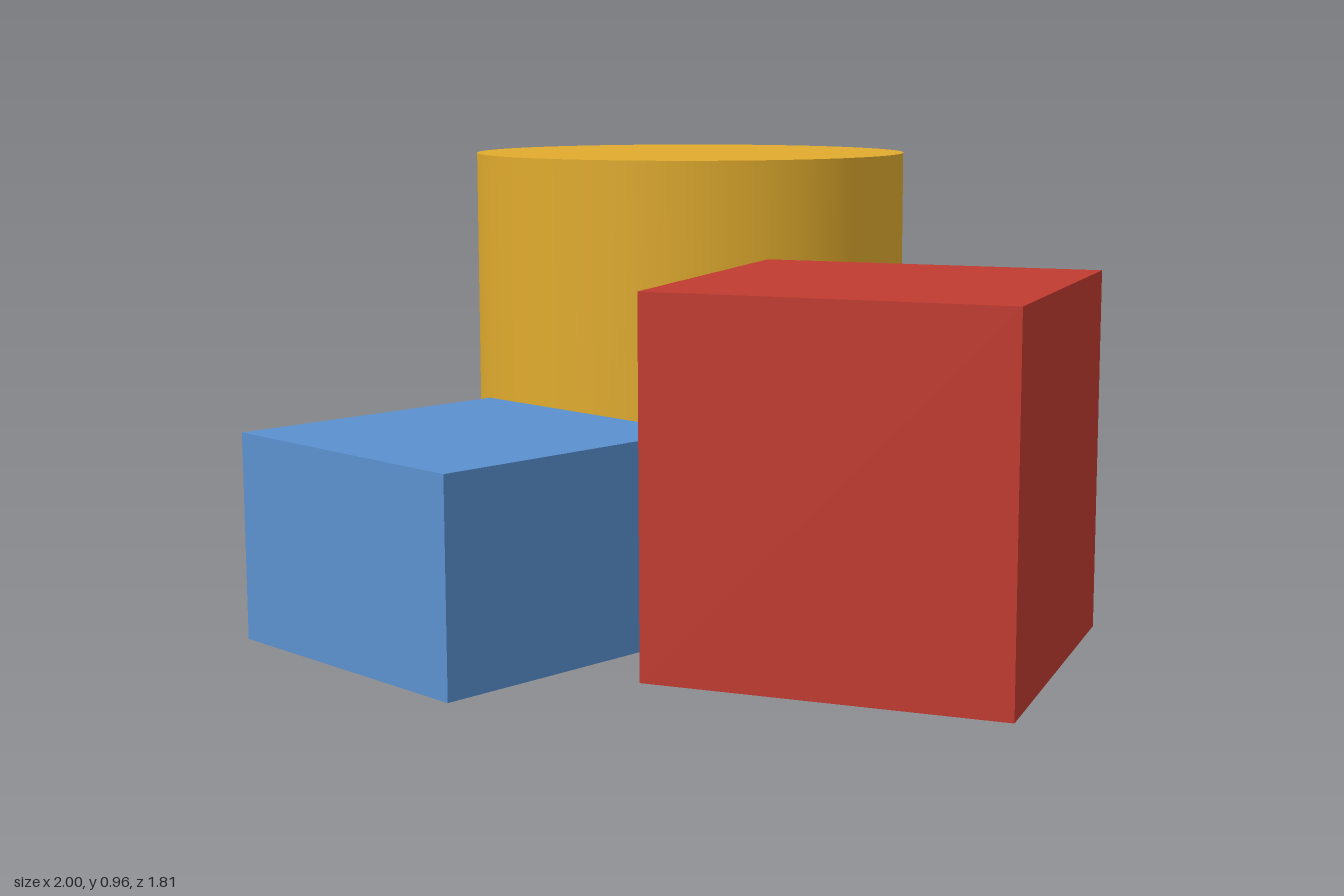
import * as THREE from 'three';

export function createModel() {
  const model = new THREE.Group();

  // Places a solid of the given height on the ground
  const addSolid = (name, geometry, color, height, x, z, turn = 0) => {
    const mesh = new THREE.Mesh(geometry, new THREE.MeshStandardMaterial({ color }));
    mesh.name = name;
    mesh.position.set(x, height / 2, z);
    mesh.rotation.y = turn;
    model.add(mesh);
  };

  // Tall round drum at the back
  addSolid('yellowCylinder', new THREE.CylinderGeometry(0.513, 0.513, 0.96, 96), 0xe0ab2e, 0.96, -0.487, -0.39);

  // Turned block on the left side
  addSolid('redBlock', new THREE.BoxGeometry(0.727, 0.75, 0.727), 0xc03b30, 0.75, 0.517, 0.087, 0.411);

  // Low block at the front
  addSolid('blueBlock', new THREE.BoxGeometry(0.65, 0.43, 0.65), 0x5b91cf, 0.43, -0.155, 0.578);

  return model;
}
